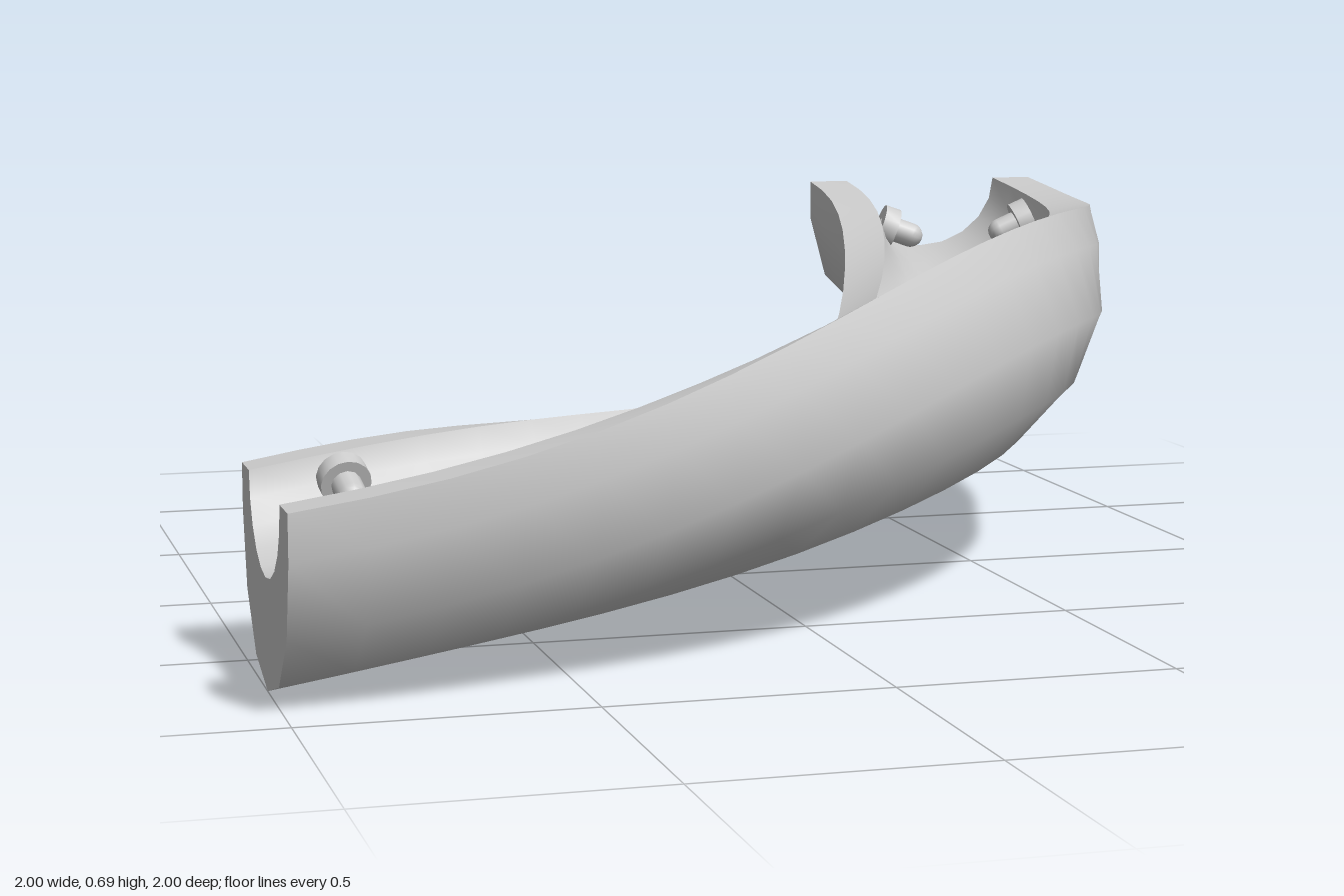
import * as THREE from 'three';
import { toCreasedNormals } from 'three/addons/utils/BufferGeometryUtils.js';

const material = new THREE.MeshStandardMaterial({ color: 0xcccccc });

// Local frame of the chute at t (0 = low end, 1 = high end): x outward, y up, banked in the middle
function frameAt(t) {
  const a = t * Math.PI / 2;
  const bank = Math.pow(Math.max(0, Math.sin(Math.PI * t)), 2.5);
  const tilt = bank * THREE.MathUtils.degToRad(36);
  const radius = 1.74 + 0.05 * bank;
  const out = new THREE.Vector3(Math.sin(a), 0, Math.cos(a));
  const up = new THREE.Vector3(0, 1, 0);
  const u = out.clone().multiplyScalar(Math.cos(tilt)).addScaledVector(up, Math.sin(tilt));
  const v = up.clone().multiplyScalar(Math.cos(tilt)).addScaledVector(out, -Math.sin(tilt));
  const w = new THREE.Vector3().crossVectors(u, v);
  const y = 0.26 + 0.34 * t + 0.025 * Math.sin(Math.PI * t);
  return new THREE.Matrix4().makeBasis(u, v, w)
    .setPosition(-1 + out.x * radius, y, -1 + out.z * radius);
}

// Counter-clockwise section: round underside, flat rims, shallower channel
function chuteSection() {
  const rim = 0.08, points = [new THREE.Vector2(-0.26, rim)];
  for (let i = 0; i <= 6; i++) {
    const a = Math.PI + i * Math.PI / 6;
    points.push(new THREE.Vector2(0.26 * Math.cos(a), 0.26 * Math.sin(a)));
  }
  points.push(new THREE.Vector2(0.26, rim));
  for (let i = 0; i <= 10; i++) {
    const a = -i * Math.PI / 10;
    points.push(new THREE.Vector2(0.175 * Math.cos(a), rim + 0.15 * Math.sin(a)));
  }
  return points;
}

function chuteGeometry() {
  const section = chuteSection(), n = section.length, steps = 24;
  const positions = [], index = [];
  for (let i = 0; i <= steps; i++) {
    const frame = frameAt(i / steps);
    for (const p of section) {
      positions.push(...new THREE.Vector3(p.x, p.y, 0).applyMatrix4(frame).toArray());
    }
  }
  for (let i = 0; i < steps; i++) {
    for (let j = 0; j < n; j++) {
      const a = i * n + j, c = i * n + (j + 1) % n;
      index.push(a, a + n, c, c, a + n, c + n);
    }
  }
  // End faces
  const last = steps * n;
  for (const [a, b, c] of THREE.ShapeUtils.triangulateShape(section, [])) {
    index.push(a, b, c, last + a, last + c, last + b);
  }
  const geometry = new THREE.BufferGeometry();
  geometry.setAttribute('position', new THREE.Float32BufferAttribute(positions, 3));
  geometry.setIndex(index);
  return toCreasedNormals(geometry, 0.75);
}

// Peg with a round flange, pointing into the channel from one wall
function makePeg(t, side) {
  const peg = new THREE.Group();
  peg.name = side > 0 ? 'outerPeg' : 'innerPeg';
  const flange = new THREE.Mesh(
    toCreasedNormals(new THREE.CylinderGeometry(0.044, 0.044, 0.034, 16), 0.7), material);
  flange.name = 'pegFlange';
  const pin = new THREE.Mesh(new THREE.CapsuleGeometry(0.026, 0.05, 6, 12), material);
  pin.name = 'pegPin';
  pin.position.y = 0.03;
  peg.add(flange, pin);
  const local = new THREE.Matrix4().makeRotationZ(side * THREE.MathUtils.degToRad(112));
  local.setPosition(side * 0.15, 0.035, 0);
  peg.applyMatrix4(frameAt(t).multiply(local));
  return peg;
}

export function createModel() {
  const model = new THREE.Group();
  model.name = 'curvedChute';
  const chute = new THREE.Mesh(chuteGeometry(), material);
  chute.name = 'chute';
  model.add(chute);
  // A pair of pegs near each end
  for (const t of [0.063, 0.89]) {
    for (const side of [-1, 1]) model.add(makePeg(t, side));
  }
  return model;
}
